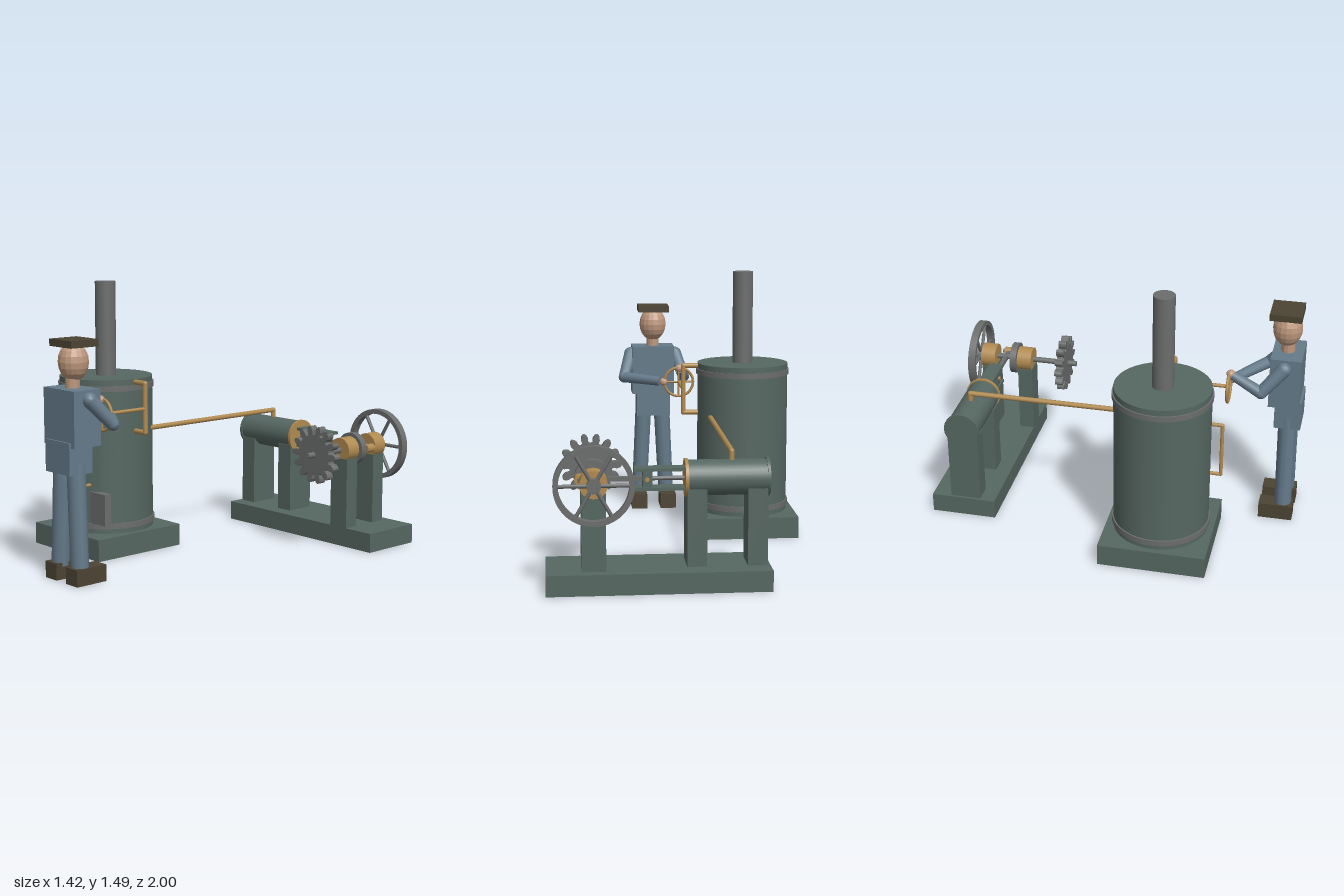
import * as THREE from 'three';

const mat = (color, extra = {}) => new THREE.MeshStandardMaterial({ color, ...extra });
const green = mat(0x566762), grey = mat(0x6b6d6c), brass = mat(0xb08a50);
const cloth = mat(0x657a8a), skin = mat(0xbd977c, { flatShading: true }), brown = mat(0x4c4433);
const V = (x, y, z) => new THREE.Vector3(x, y, z);

export function createModel() {
  const root = new THREE.Group();
  root.name = 'steamPlant';

  const group = (name) => {
    const g = new THREE.Group();
    g.name = name;
    root.add(g);
    return g;
  };
  const add = (parent, name, geometry, material) => {
    const m = new THREE.Mesh(geometry, material);
    m.name = name;
    parent.add(m);
    return m;
  };
  // box given by its extents on each axis
  const box = (parent, name, material, [x0, x1], [y0, y1], [z0, z1]) => {
    const m = add(parent, name, new THREE.BoxGeometry(x1 - x0, y1 - y0, z1 - z0), material);
    m.position.set((x0 + x1) / 2, (y0 + y1) / 2, (z0 + z1) / 2);
    return m;
  };
  // round bar from point a to point b
  const rod = (parent, name, material, a, b, ra, rb = ra, sides = 16) => {
    const m = add(parent, name, new THREE.CylinderGeometry(rb, ra, a.distanceTo(b), sides), material);
    m.position.copy(a).lerp(b, 0.5);
    m.quaternion.setFromUnitVectors(V(0, 1, 0), b.clone().sub(a).normalize());
    return m;
  };
  const ball = (parent, name, material, p, r) => {
    const m = add(parent, name, new THREE.SphereGeometry(r, 12, 8), material);
    m.position.copy(p);
    return m;
  };
  // pipe through several points, with rounded elbows
  const pipe = (parent, name, points, r) => {
    points.forEach((p, i) => {
      if (i) rod(parent, name, brass, points[i - 1], p, r, r, 12);
      ball(parent, name + 'Elbow', brass, p, r);
    });
  };

  // ---- boiler ----
  const boiler = group('boiler');
  const bx = -0.425, bz = 0.31;
  const drum = (name, material, y0, y1, r) =>
    rod(boiler, name, material, V(bx, y0, bz), V(bx, y1, bz), r, r, 40);
  box(boiler, 'boilerBase', green, [-0.715, -0.135], [0, 0.12], [0.02, 0.6]);
  drum('boilerShell', green, 0.12, 0.97, 0.258);
  drum('lowerBand', grey, 0.147, 0.178, 0.266);
  drum('upperBand', grey, 0.908, 0.938, 0.266);
  drum('chimney', grey, 0.97, 1.49, 0.057);
  box(boiler, 'fireDoor', grey, [-0.29, -0.163], [0.18, 0.355], [0.49, 0.533]);
  pipe(boiler, 'sightTube',
    [V(-0.297, 0.695, 0.52), V(-0.297, 0.695, 0.61), V(-0.297, 0.39, 0.61), V(-0.297, 0.39, 0.52)], 0.01);
  pipe(boiler, 'valvePipe',
    [V(-0.19, 0.953, bz), V(-0.085, 0.953, bz), V(-0.085, 0.683, bz), V(-0.19, 0.683, bz)], 0.014);
  pipe(boiler, 'steamPipe', [V(-0.225, 0.677, 0.18), V(-0.225, 0.677, -0.81), V(-0.225, 0.6, -0.81)], 0.014);

  // hand wheel on its valve stem
  const hub = V(-0.085, 0.815, 0.607);
  rod(boiler, 'valveStem', brass, V(-0.085, 0.815, bz), hub, 0.01, 0.01, 12);
  add(boiler, 'handWheelRim', new THREE.TorusGeometry(0.085, 0.008, 8, 32), brass).position.copy(hub);
  for (let i = 0; i < 2; i++) {
    const d = V(Math.cos(i * Math.PI / 2), Math.sin(i * Math.PI / 2), 0).multiplyScalar(0.085);
    rod(boiler, 'handWheelSpoke', brass, hub.clone().sub(d), hub.clone().add(d), 0.006, 0.006, 8);
  }

  // ---- engine ----
  const engine = group('engine');
  const ey = 0.545, ez = -0.81, sx = 0.47;
  box(engine, 'engineBase', green, [-0.415, 0.71], [0, 0.107], [-1, -0.64]);
  for (const x of [-0.4, -0.095])
    box(engine, 'cylinderPillar', green, [x, x + 0.1], [0.107, 0.5], [-0.895, -0.725]);
  rod(engine, 'steamCylinder', green, V(-0.4, ey, ez), V(0, ey, ez), 0.09, 0.09, 32);
  rod(engine, 'rearCover', green, V(-0.412, ey, ez), V(-0.398, ey, ez), 0.098, 0.098, 32);
  rod(engine, 'frontCover', brass, V(-0.004, ey, ez), V(0.012, ey, ez), 0.098, 0.098, 32);
  for (const y of [0.496, 0.594])
    box(engine, 'guideBar', green, [0, 0.265], [y - 0.008, y + 0.008], [-0.85, -0.77]);
  rod(engine, 'pistonRod', grey, V(0, ey, ez), V(0.19, ey, ez), 0.011);
  box(engine, 'crosshead', green, [0.175, 0.222], [0.504, 0.586], [-0.84, -0.78]);
  rod(engine, 'crossheadPin', brass, V(0.2, ey, -0.85), V(0.2, ey, -0.77), 0.011);
  box(engine, 'connectingRod', grey, [0.2, 0.53], [ey - 0.012, ey + 0.012], [-0.821, -0.799]);
  rod(engine, 'bigEnd', brass, V(0.537, ey, -0.838), V(0.537, ey, -0.782), 0.025);
  rod(engine, 'crankPin', grey, V(0.537, ey, -0.85), V(0.537, ey, -0.74), 0.012);
  rod(engine, 'crankDisc', grey, V(sx, ey, -0.768), V(sx, ey, -0.73), 0.09, 0.09, 32);
  rod(engine, 'shaft', grey, V(sx, ey, -0.995), V(sx, ey, -0.38), 0.016);
  for (const [z0, z1] of [[-0.725, -0.64], [-0.945, -0.86]]) {
    box(engine, 'bearingPillar', green, [0.41, 0.53], [0.107, 0.5], [z0, z1]);
    rod(engine, 'bearing', brass, V(sx, ey, z0 - 0.004), V(sx, ey, z1 - 0.004), 0.07, 0.07, 32);
  }

  // flywheel: flat rim, hub and six spokes
  const flywheel = group('flywheel');
  flywheel.position.set(sx, ey, -0.967);
  const ring = new THREE.Shape().absarc(0, 0, 0.2, 0, Math.PI * 2, false);
  ring.holes.push(new THREE.Path().absarc(0, 0, 0.174, 0, Math.PI * 2, true));
  const rim = new THREE.ExtrudeGeometry(ring, { depth: 0.042, bevelEnabled: false, curveSegments: 48 });
  add(flywheel, 'flywheelRim', rim.translate(0, 0, -0.021), grey);
  rod(flywheel, 'flywheelHub', grey, V(0, 0, -0.022), V(0, 0, 0.022), 0.036, 0.036, 24);
  for (let i = 0; i < 6; i++) {
    const a = i * Math.PI / 3;
    rod(flywheel, 'flywheelSpoke', grey, V(0, 0, 0), V(Math.cos(a) * 0.18, Math.sin(a) * 0.18, 0), 0.01, 0.01, 8);
  }

  // gear with fourteen rounded teeth
  const gearTeeth = 14, outline = [];
  const tooth = [[-0.5, 0.112], [-0.3, 0.116], [-0.3, 0.138], [-0.2, 0.153], [-0.08, 0.161],
    [0.08, 0.161], [0.2, 0.153], [0.3, 0.138], [0.3, 0.116]];
  for (let i = 0; i < gearTeeth; i++)
    for (const [t, r] of tooth) {
      const a = (i + t) * Math.PI * 2 / gearTeeth;
      outline.push(new THREE.Vector2(Math.cos(a) * r, Math.sin(a) * r));
    }
  const gear = new THREE.ExtrudeGeometry(new THREE.Shape(outline), { depth: 0.045, bevelEnabled: false });
  add(engine, 'gear', gear, grey).position.set(sx, ey, -0.476);

  // ---- worker, turned towards the hand wheel ----
  const worker = group('worker');
  const cx = 0.05;
  box(worker, 'torso', cloth, [-0.076, 0.178], [0.71, 1], [0.82, 0.988]);
  box(worker, 'hips', cloth, [-0.052, 0.15], [0.57, 0.737], [0.855, 1]);
  rod(worker, 'neck', skin, V(cx, 0.99, 0.9), V(cx, 1.06, 0.9), 0.038, 0.038, 12);
  const head = add(worker, 'head', new THREE.SphereGeometry(1, 16, 10), skin);
  head.scale.set(0.08, 0.1, 0.08);
  head.position.set(cx, 1.132, 0.892);
  box(worker, 'cap', brown, [-0.043, 0.14], [1.21, 1.247], [0.8, 0.972]);
  for (const s of [-1, 1]) {
    rod(worker, 'leg', cloth, V(cx + s * 0.083, 0.07, 0.93), V(cx + s * 0.055, 0.63, 0.925), 0.047, 0.05, 10);
    const fx = cx + s * 0.088;
    box(worker, 'boot', brown, [fx - 0.047, fx + 0.047], [0, 0.088], [0.8, 0.988]);
    const shoulder = V(cx + s * 0.135, 0.95, 0.895), elbow = V(cx + s * 0.18, 0.822, 0.785);
    const hand = s < 0 ? V(-0.088, 0.895, 0.615) : V(0.005, 0.815, 0.615);
    const wrist = elbow.clone().lerp(hand, 0.92);
    rod(worker, 'upperArm', cloth, shoulder, elbow, 0.04, 0.034, 12);
    ball(worker, 'shoulder', cloth, shoulder, 0.04);
    ball(worker, 'elbow', cloth, elbow, 0.034);
    rod(worker, 'forearm', cloth, elbow, wrist, 0.033, 0.027, 12);
    ball(worker, 'hand', skin, hand, 0.024);
  }
  return root;
}
